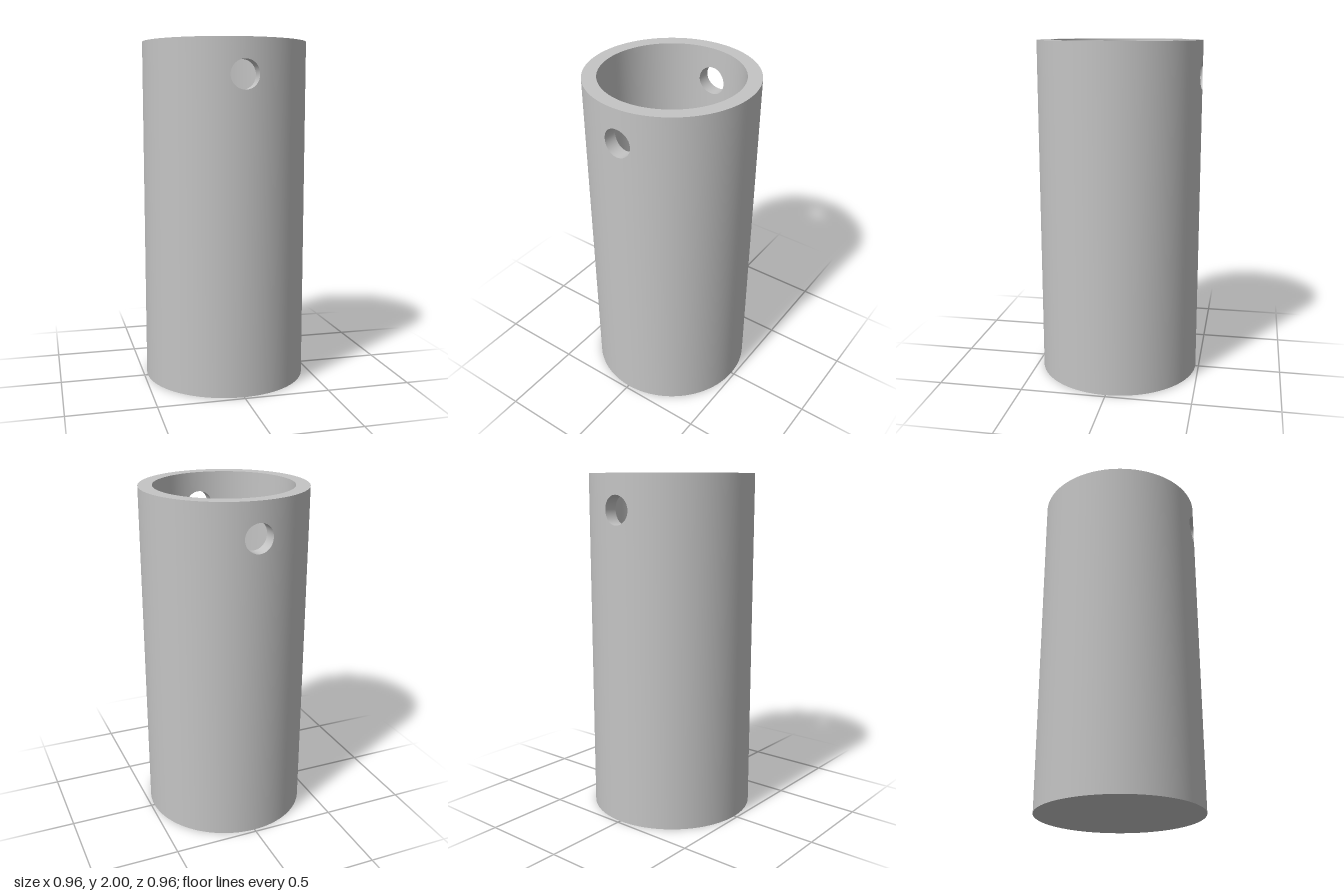
import * as THREE from 'three';
import { ParametricGeometry } from 'three/addons/geometries/ParametricGeometry.js';

const OUTER = 0.48, INNER = 0.4, HEIGHT = 2, FLOOR = 0.08;
const HOLE_Y = 1.803, HOLE_R = 0.082;
const BAND = HEIGHT - HOLE_Y;     // half height of the drilled band
const BAND_Y = HOLE_Y - BAND;     // where the plain wall ends
const ARC = Math.PI / 8;          // half angle of a drilled patch

// Point on the unit square's edge, counterclockwise, for u from 0 to 1
function squareEdge(u) {
  const side = Math.floor(u * 4) % 4;
  const f = 2 * (u * 4 - Math.floor(u * 4)) - 1;
  return [[1, f], [-f, 1], [-1, -f], [f, -1]][side];
}

// Curved wall patch with a round hole in its middle
function drilledPatch(radius, inward) {
  return new ParametricGeometry((u, v, p) => {
    const [sx, sy] = squareEdge(u);
    const t = Math.atan2(sy, sx);
    const k = inward ? v : 1 - v; // 0 at the hole, 1 at the border
    const angle = THREE.MathUtils.lerp(Math.asin(HOLE_R * Math.cos(t) / radius), ARC * sx, k);
    const y = HOLE_Y + THREE.MathUtils.lerp(HOLE_R * Math.sin(t), BAND * sy, k);
    p.set(radius * Math.sin(angle), y, radius * Math.cos(angle));
  }, 64, 6);
}

// Bore surface joining the outer and inner walls
function holeLining() {
  return new ParametricGeometry((u, v, p) => {
    const [sx, sy] = squareEdge(u);
    const t = Math.atan2(sy, sx);
    const x = HOLE_R * Math.cos(t);
    const zOut = Math.sqrt(OUTER * OUTER - x * x);
    const zIn = Math.sqrt(INNER * INNER - x * x);
    p.set(x, HOLE_Y + HOLE_R * Math.sin(t), THREE.MathUtils.lerp(zOut, zIn, v));
  }, 64, 1);
}

export function createModel() {
  const model = new THREE.Group();
  model.name = 'drilledCup';
  const grey = new THREE.MeshStandardMaterial({ color: 0xc4c4c4 });
  grey.name = 'lightGrey';

  const add = (name, geometry, parent = model) => {
    const mesh = new THREE.Mesh(geometry, grey);
    mesh.name = name;
    parent.add(mesh);
  };
  const lathe = (a, b, segments = 128, start = 0, length = Math.PI * 2) =>
    new THREE.LatheGeometry([new THREE.Vector2(...a), new THREE.Vector2(...b)], segments, start, length);

  // Plain turned surfaces
  add('base', lathe([0, 0], [OUTER, 0]));
  add('outerWall', lathe([OUTER, 0], [OUTER, BAND_Y]));
  add('rim', lathe([OUTER, HEIGHT], [INNER, HEIGHT]));
  add('innerWall', lathe([INNER, BAND_Y], [INNER, FLOOR]));
  add('innerFloor', lathe([INNER, FLOOR], [0, FLOOR]));

  // Upper band: front and back halves, each with one cross hole
  for (const [name, turn] of [['frontBand', 0], ['backBand', Math.PI]]) {
    const band = new THREE.Group();
    band.name = name;
    band.rotation.y = turn;
    const rest = Math.PI - 2 * ARC;
    add('outerPatch', drilledPatch(OUTER, false), band);
    add('innerPatch', drilledPatch(INNER, true), band);
    add('holeLining', holeLining(), band);
    add('outerSide', lathe([OUTER, BAND_Y], [OUTER, HEIGHT], 48, ARC, rest), band);
    add('innerSide', lathe([INNER, HEIGHT], [INNER, BAND_Y], 48, ARC, rest), band);
    model.add(band);
  }
  return model;
}
